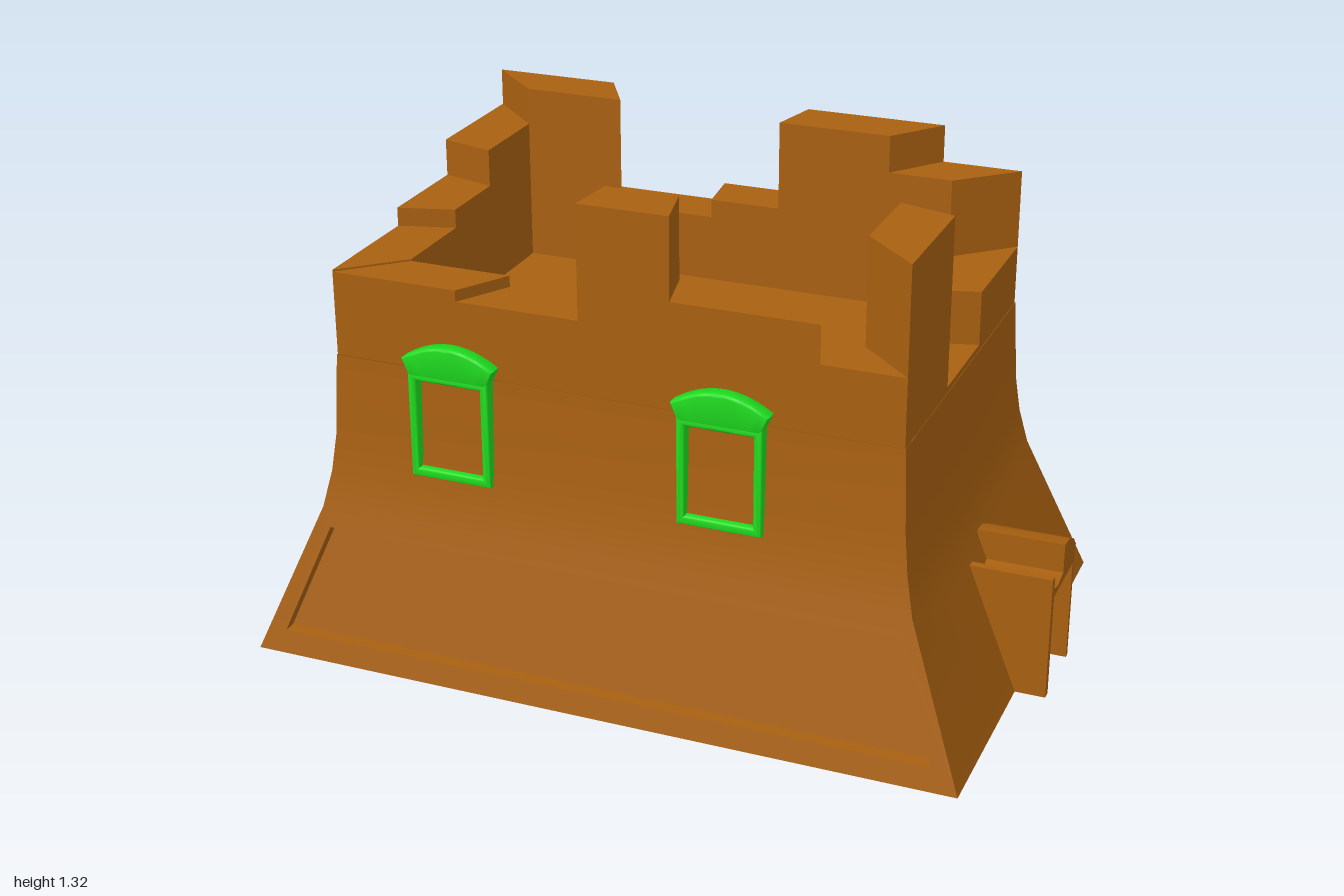
import * as THREE from 'three';
import { toCreasedNormals } from 'three/addons/utils/BufferGeometryUtils.js';

const CX = -0.04;       // centre of the tower along x
const FLOOR = 0.82;     // height of the roof floor
const stone = new THREE.MeshStandardMaterial({ color: 0xa86010, side: THREE.DoubleSide });
const green = new THREE.MeshStandardMaterial({ color: 0x1fdd1f });

// collects quads (corners counter-clockwise from outside) into one mesh
class Quads {
  constructor() { this.pos = []; }
  add(a, b, c, d) {
    for (const p of [a, b, c, a, c, d]) this.pos.push(...p);
  }
  // outer quad with an inner quad sunk into it by an offset
  panel(o, p, offset) {
    const q = p.map((v) => v.map((n, i) => n + offset[i]));
    for (let i = 0; i < 4; i++) {
      const j = (i + 1) % 4;
      this.add(o[i], o[j], p[j], p[i]);
      this.add(p[i], p[j], q[j], q[i]);
    }
    this.add(...q);
  }
  mesh(name) {
    const g = new THREE.BufferGeometry();
    g.setAttribute('position', new THREE.Float32BufferAttribute(this.pos, 3));
    const m = new THREE.Mesh(toCreasedNormals(g, 0.6), stone);
    m.name = name;
    return m;
  }
}

// flared wall shell, open below, with sunk panels front and back and a door recess
function makeWalls() {
  const levels = [[0, 0.96, 0.64], [0.4, 0.8, 0.535], [0.5, 0.778, 0.515],
    [0.6, 0.766, 0.502], [FLOOR, 0.755, 0.492]];
  const ring = ([y, hx, hz]) =>
    [[-1, 1], [1, 1], [1, -1], [-1, -1]].map(([sx, sz]) => [CX + sx * hx, y, sz * hz]);
  const q = new Quads();
  for (let l = 0; l < levels.length - 1; l++) {
    const lo = ring(levels[l]), hi = ring(levels[l + 1]);
    for (let s = 0; s < 4; s++) {
      const t = (s + 1) % 4;
      const outer = [lo[s], lo[t], hi[t], hi[s]];
      if (l > 0 || s === 3) {
        q.add(...outer);
      } else if (s === 1) {
        const at = (y, z) => [CX + 0.96 - 0.4 * y, y, z];
        q.panel(outer, [at(0, 0.09), at(0, -0.105), at(0.28, -0.105), at(0.28, 0.09)], [-0.2, 0, 0]);
      } else {
        const k = s === 0 ? 1 : -1;
        const at = (x, y) => [CX + k * x, y, k * (0.64 - 0.2625 * y)];
        q.panel(outer, [at(-0.885, 0.06), at(0.885, 0.06), at(0.775, 0.35), at(-0.775, 0.35)],
          [0, 0, -0.035 * k]);
      }
    }
  }
  return q.mesh('walls');
}

// mitred parapet blocks of differing height around the roof
function makeBattlements() {
  const group = new THREE.Group();
  group.name = 'battlements';
  const X0 = -0.793, X1 = 0.713, Z = 0.49;
  const inner = ([x, z]) => [CX + (x - CX) * 0.803, z * 0.714];
  const xs = [X0, -0.45, -0.12, 0.12, 0.5, X1];
  const zs = [Z, 0.145, -0.14, -Z];
  const sides = [
    ['front', xs.map((x) => [x, Z]), [1.045, 1.015, 1.315, 1.1, 1.0]],
    ['right', zs.map((z) => [X1, z]), [1.28, 0.835, 0.98]],
    ['back', xs.map((x) => [x, -Z]).reverse(), [1.19, 1.29, 1.05, 1.0, 1.3]],
    ['left', zs.map((z) => [X0, z]).reverse(), [1.2, 1.1, 1.05]],
  ];
  for (const [name, pts, heights] of sides) {
    heights.forEach((h, i) => {
      const foot = [pts[i], pts[i + 1], inner(pts[i + 1]), inner(pts[i])];
      const lo = foot.map(([x, z]) => [x, FLOOR, z]);
      const hi = foot.map(([x, z]) => [x, h, z]);
      const q = new Quads();
      for (let s = 0; s < 4; s++) {
        const t = (s + 1) % 4;
        q.add(lo[s], lo[t], hi[t], hi[s]);
      }
      q.add(...hi);
      group.add(q.mesh(`${name}Merlon${i + 1}`));
    });
  }
  // roof floor inside the parapet
  const f = [[X0, Z], [X1, Z], [X1, -Z], [X0, -Z]].map(inner).map(([x, z]) => [x, FLOOR, z]);
  const floor = new Quads();
  floor.add(...f);
  group.add(floor.mesh('roofFloor'));
  return group;
}

// projecting doorway with a half-broken arched lintel
function makeDoorway() {
  const outline = [[-0.115, 0], [-0.115, 0.34], [-0.092, 0.34], [-0.092, 0.305], [-0.05, 0.295],
    [0, 0.305], [0, 0.385], [0.05, 0.378], [0.1, 0.355], [0.13, 0.325], [0.12, 0.31],
    [0.12, 0], [0.105, 0], [0.105, 0.28], [-0.09, 0.28], [-0.09, 0]];
  const shape = new THREE.Shape(outline.map(([x, y]) => new THREE.Vector2(x, y)));
  const g = new THREE.ExtrudeGeometry(shape, { depth: 0.23, bevelEnabled: false });
  g.rotateY(Math.PI / 2).translate(0.77, 0, 0);
  const m = new THREE.Mesh(toCreasedNormals(g, 0.6), stone);
  m.name = 'doorway';
  return m;
}

// window: rectangular frame with a curved hood
function makeWindow(name) {
  const group = new THREE.Group();
  group.name = name;
  const b = 0.007;
  const opts = { depth: 0.03, bevelEnabled: true, bevelSize: b, bevelThickness: b, bevelSegments: 3, curveSegments: 12 };
  const rect = (P, hw, y0, y1) => new P([[-hw, y0], [hw, y0], [hw, y1], [-hw, y1]]
    .map(([x, y]) => new THREE.Vector2(x, y)));
  const frame = rect(THREE.Shape, 0.104, 0.007, 0.28);
  frame.holes.push(rect(THREE.Path, 0.096, 0.017, 0.272));

  const hood = new THREE.Shape();
  hood.moveTo(-0.1, 0.277);
  hood.quadraticCurveTo(0, 0.266, 0.1, 0.277);
  hood.lineTo(0.118, 0.318);
  hood.quadraticCurveTo(0, 0.394, -0.118, 0.318);
  hood.closePath();

  for (const [part, shape] of [['frame', frame], ['hood', hood]]) {
    const g = new THREE.ExtrudeGeometry(shape, opts);
    const m = new THREE.Mesh(toCreasedNormals(g, 0.8), green);
    m.name = part;
    group.add(m);
  }
  return group;
}

export function createModel() {
  const model = new THREE.Group();
  model.name = 'ruinedKeep';
  model.add(makeWalls(), makeBattlements(), makeDoorway());

  // windows: x, base height, facing
  for (const [x, y, k] of [[-0.465, 0.535, 1], [0.26, 0.535, 1], [-0.57, 0.525, -1], [0.305, 0.525, -1]]) {
    const w = makeWindow(k > 0 ? 'frontWindow' : 'backWindow');
    w.position.set(x, y, k * 0.49);
    if (k < 0) w.rotation.y = Math.PI;
    model.add(w);
  }
  return model;
}
